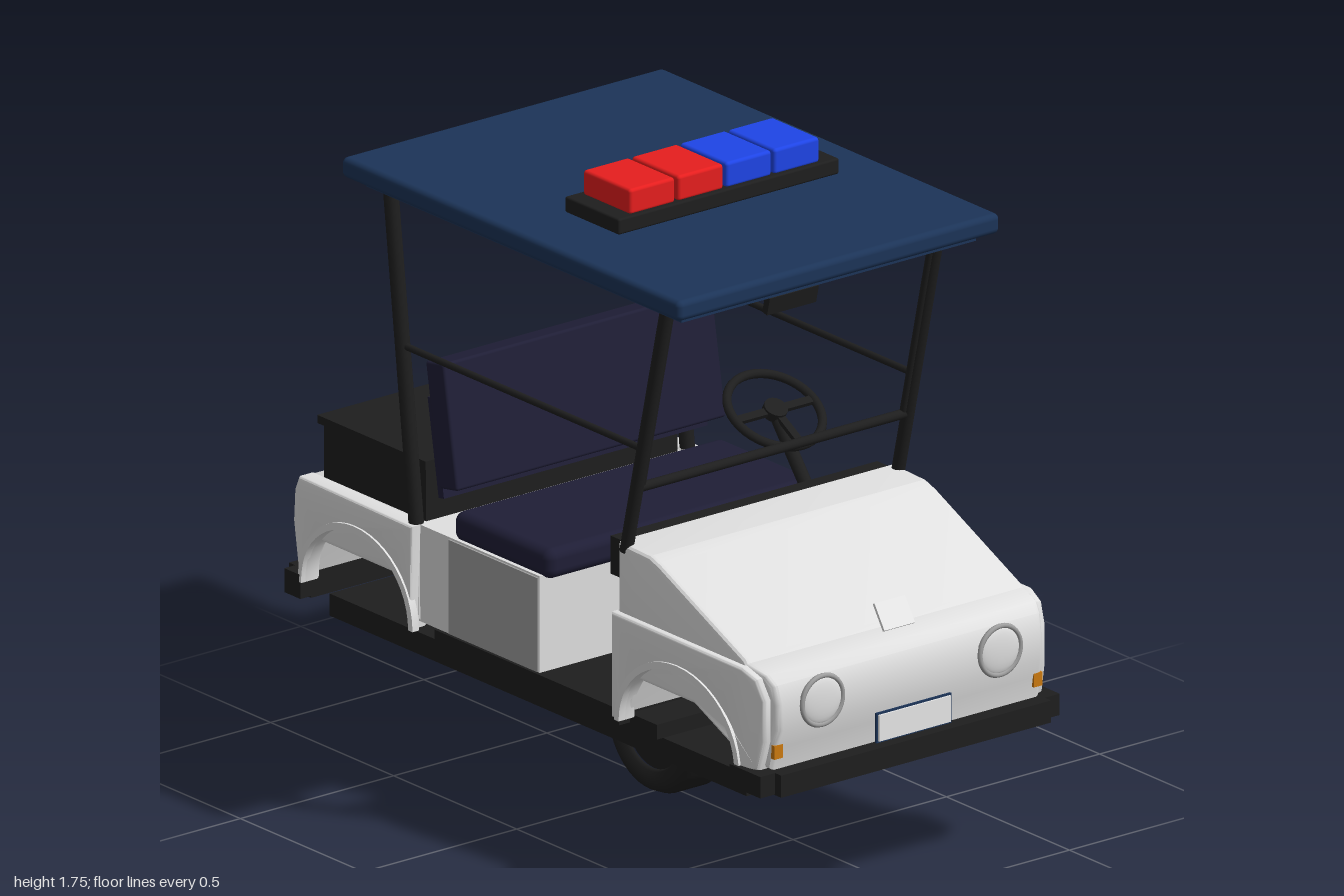
import * as THREE from 'three';
import { toCreasedNormals } from 'three/addons/utils/BufferGeometryUtils.js';
import { RoundedBoxGeometry } from 'three/addons/geometries/RoundedBoxGeometry.js';

const paint = (name, color) => {
  const m = new THREE.MeshStandardMaterial({ color });
  m.name = name;
  return m;
};

export function createModel() {
  const white = paint('bodyWhite', 0xe0e0e0);
  const plateWhite = paint('plateWhite', 0xf4f4f4);
  const black = paint('trimBlack', 0x1e1e1e);
  const navy = paint('roofNavy', 0x1c3458);
  const vinyl = paint('seatVinyl', 0x1f1e36);
  const red = paint('beaconRed', 0xe81e1e);
  const blue = paint('beaconBlue', 0x1f46ea);
  const amber = paint('signalAmber', 0xcc7a10);
  const tailRed = paint('tailRed', 0xa00a2c);
  const silver = paint('silver', 0xa0a0a0);

  const model = new THREE.Group();
  const add = (name, geo, mat, x = 0, y = 0, z = 0, parent = model) => {
    const m = new THREE.Mesh(geo, mat);
    m.name = name;
    m.position.set(x, y, z);
    parent.add(m);
    return m;
  };
  // Box given by its extents
  const box = (name, mat, x0, x1, y0, y1, z0, z1, round = 0) => {
    const s = [x1 - x0, y1 - y0, z1 - z0];
    const g = round ? new RoundedBoxGeometry(...s, 3, round) : new THREE.BoxGeometry(...s);
    return add(name, g, mat, (x0 + x1) / 2, (y0 + y1) / 2, (z0 + z1) / 2);
  };
  // Rod between two points
  const rod = (name, mat, a, b, r) => {
    const p = new THREE.Vector3(...a), q = new THREE.Vector3(...b);
    const m = add(name, new THREE.CylinderGeometry(r, r, p.distanceTo(q), 12), mat);
    m.position.copy(p).lerp(q, 0.5);
    m.quaternion.setFromUnitVectors(new THREE.Vector3(0, 1, 0), q.sub(p).normalize());
    return m;
  };
  // Side outline (z, y) extruded across x, narrowing toward both ends of the body
  const slab = (name, mat, shape, x0, x1, bevel = 0, crease = 0.6) => {
    const g = new THREE.ExtrudeGeometry(shape, {
      depth: x1 - x0 - 2 * bevel, bevelEnabled: bevel > 0, bevelSize: bevel, bevelOffset: -bevel,
      bevelThickness: bevel, bevelSegments: 3, curveSegments: 24,
    });
    g.rotateY(-Math.PI / 2).translate(x1 - bevel, 0, 0);
    const p = g.attributes.position;
    for (let i = 0; i < p.count; i++) {
      const over = Math.max(0, Math.abs(p.getZ(i)) - 0.86);
      p.setX(i, p.getX(i) * (1 - 4 * over * over));
    }
    return add(name, toCreasedNormals(g, crease), mat);
  };
  const outline = (pts) => new THREE.Shape(pts.map((p) => new THREE.Vector2(...p)));
  const arc = (zc, r, ry, from, to) => Array.from({ length: 25 }, (_, i) => {
    const a = from + (to - from) * i / 24;
    return [zc + r * Math.cos(a), 0.4 + ry * Math.sin(a)];
  });

  // Chassis, floor and bumpers
  box('chassis', black, -0.4, 0.4, 0.3, 0.36, -0.885, 0.81);
  box('floor', black, -0.42, 0.42, 0.36, 0.4, -0.03, 0.47);
  box('sill', black, -0.455, 0.455, 0.375, 0.418, -0.39, 0.36);
  box('frontBumper', black, -0.44, 0.44, 0.36, 0.42, 0.85, 1.0);
  box('rearBumper', black, -0.44, 0.44, 0.35, 0.42, -1.0, -0.91);
  for (const s of [-1, 1]) {
    box('frontBumperEnd', black, s * 0.455 - 0.033, s * 0.455 + 0.033, 0.362, 0.42, 0.85, 0.975);
    box('rearBumperEnd', black, s * 0.45 - 0.025, s * 0.45 + 0.025, 0.355, 0.42, -0.975, -0.91);
  }

  // Front body: nose, hood and arched fenders
  slab('nose', white, outline([[0.35, 0.42], [0.39, 0.42], [0.42, 0.52], [0.66, 0.52], [0.86, 0.43],
    [0.955, 0.42], [0.965, 0.48], [0.98, 0.53], [0.978, 0.6], [0.965, 0.65], [0.94, 0.675],
    [0.88, 0.69], [0.35, 0.69]]), -0.455, 0.455, 0.012);
  slab('hood', white, outline([[0.352, 0.67], [0.9, 0.67], [0.865, 0.7], [0.52, 0.855], [0.48, 0.868],
    [0.352, 0.872]]), -0.455, 0.455, 0.015, 0.28);
  box('firewallPanel', silver, -0.43, 0.43, 0.425, 0.765, 0.343, 0.35);
  const frontArch = arc(0.625, 0.235, 0.2, 0, Math.PI);
  const rearArch = arc(-0.685, 0.22, 0.2, 0, Math.PI);
  const fender = outline([[0.35, 0.4], [0.35, 0.685], [0.88, 0.685], [0.93, 0.665], [0.955, 0.61],
    [0.955, 0.5], [0.935, 0.42], ...frontArch]);
  const quarter = outline([[-0.93, 0.42], [-0.965, 0.55], [-0.955, 0.64], [-0.93, 0.68],
    [-0.46, 0.68], ...rearArch]);
  const lip = (zc, r) => outline([...arc(zc, r + 0.018, 0.218, 0, Math.PI), ...arc(zc, r, 0.2, Math.PI, 0)]);
  for (const s of [-1, 1]) {
    const span = (a, b) => (s > 0 ? [a, b] : [-b, -a]);
    slab('frontFender', white, fender, ...span(0.425, 0.475), 0.008);
    slab('rearFender', white, quarter, ...span(0.42, 0.475), 0.008);
    slab('frontArchLip', white, lip(0.625, 0.235), ...span(0.46, 0.481));
    slab('rearArchLip', white, lip(-0.685, 0.22), ...span(0.46, 0.481));
  }

  // Rear body and seat base
  slab('rearBody', white, outline([[-0.46, 0.42], [-0.46, 0.675], [-0.93, 0.675], [-0.965, 0.66],
    [-0.98, 0.6], [-0.97, 0.42], [-0.91, 0.42], [-0.88, 0.52], [-0.49, 0.52]]), -0.45, 0.45, 0.01);
  box('seatBase', white, -0.445, 0.445, 0.418, 0.68, -0.47, 0.025);
  box('seatBaseSidePanel', silver, -0.45, -0.444, 0.42, 0.675, -0.34, 0.022);

  // Rear cargo box
  box('cargoBox', black, -0.41, 0.41, 0.67, 0.825, -0.895, -0.48);
  box('cargoLid', black, -0.42, 0.42, 0.82, 0.842, -0.91, -0.47);
  box('cargoHandle', silver, -0.095, 0.095, 0.842, 0.87, -0.715, -0.65);

  // Seat
  box('seatCushion', vinyl, -0.44, 0.44, 0.67, 0.752, -0.34, 0.055, 0.028);
  box('seatBack', vinyl, -0.44, 0.44, 0.8, 1.135, -0.42, -0.346, 0.008).rotation.x = -0.17;
  box('seatBackFrame', vinyl, -0.43, 0.43, 0.765, 1.03, -0.427, -0.405).rotation.x = -0.17;

  // Roof on posts
  box('roof', navy, -0.525, 0.525, 1.577, 1.632, -0.685, 0.69, 0.016);
  box('roofUnderside', navy, -0.48, 0.48, 1.555, 1.585, -0.635, 0.645);
  for (const s of [-1, 1]) {
    const x = s * 0.442;
    rod('frontPost', black, [x, 0.85, 0.373], [x, 1.56, 0.54], 0.018);
    rod('rearPost', black, [x, 0.675, -0.48], [x, 1.56, -0.585], 0.02);
    rod('sideRail', black, [x, 1.145, 0.44], [x, 1.145, -0.535], 0.009);
    rod('windscreenSideBar', black, [s * 0.426, 1.03, 0.415], [s * 0.426, 1.55, 0.537], 0.01);
  }
  rod('windscreenLowerBar', black, [-0.44, 1.032, 0.416], [0.44, 1.032, 0.416], 0.013);
  rod('windscreenUpperBar', black, [-0.44, 1.545, 0.535], [0.44, 1.545, 0.535], 0.013);
  box('mirror', black, -0.08, 0.08, 1.44, 1.49, 0.48, 0.5).rotation.x = 0.24;

  // Dashboard, pedal and steering; the rim plane rises toward the seat
  box('dashboard', black, -0.435, 0.435, 0.765, 0.868, 0.3, 0.356);
  box('pedal', black, -0.18, -0.08, 0.672, 0.75, 0.244, 0.256);
  rod('steeringColumn', black, [0.225, 0.77, 0.33], [0.225, 1.0, 0.15], 0.018);
  const steering = new THREE.Group();
  steering.name = 'steeringWheel';
  steering.position.set(0.225, 1.01, 0.145);
  steering.rotation.x = 0.515 - Math.PI / 2;
  add('steeringRim', new THREE.TorusGeometry(0.128, 0.012, 10, 40), black, 0, 0, 0, steering);
  add('steeringHub', new THREE.CylinderGeometry(0.032, 0.032, 0.025, 20).rotateX(Math.PI / 2), black, 0, 0, 0, steering);
  for (const a of [0, Math.PI, -Math.PI / 2]) {
    add('steeringSpoke', new THREE.BoxGeometry(0.125, 0.022, 0.012).translate(0.063, 0, 0), black, 0, 0, 0, steering).rotation.z = a;
  }
  model.add(steering);

  // Roof light bar
  box('lightBarBase', black, -0.36, 0.36, 1.647, 1.69, 0.02, 0.24, 0.006);
  for (const s of [-1, 1]) box('lightBarFoot', black, s * 0.27 - 0.05, s * 0.27 + 0.05, 1.625, 1.65, 0.06, 0.2);
  [-0.238, -0.08, 0.077, 0.233].forEach((x, i) => {
    box('beaconLens', i < 2 ? red : blue, x - 0.074, x + 0.074, 1.686, 1.755, 0.034, 0.226, 0.009);
  });

  // Front plates
  box('hoodPlate', plateWhite, -0.05, 0.05, 0.695, 0.77, 0.906, 0.914).rotation.x = -0.58;
  box('frontPlateFrame', navy, -0.122, 0.122, 0.431, 0.512, 0.985, 0.991);
  box('frontPlate', plateWhite, -0.117, 0.117, 0.436, 0.507, 0.99, 0.996);
  // Lamps on both sides
  for (const s of [-1, 1]) {
    add('headlightRim', new THREE.TorusGeometry(0.066, 0.007, 8, 36), silver, s * 0.29, 0.585, 0.98);
    add('headlightLens', new THREE.SphereGeometry(0.064, 28, 12).scale(1, 1, 0.2), white, s * 0.29, 0.585, 0.978);
    box('frontSignal', amber, s * 0.423 - 0.014, s * 0.423 + 0.014, 0.453, 0.49, 0.95, 0.969);
    const x0 = s * 0.345 - 0.055, x1 = s * 0.345 + 0.055;
    box('tailLightFrame', black, x0 - 0.005, x1 + 0.005, 0.549, 0.617, -0.985, -0.97);
    box('tailLight', tailRed, x0, x1, 0.554, 0.612, -0.99, -0.98);
    box('rearSignal', amber, x0, x1, 0.499, 0.539, -0.987, -0.965);
  }
  box('rearPlateFrame', navy, -0.12, 0.12, 0.5, 0.585, -0.984, -0.974);
  box('rearPlate', plateWhite, -0.113, 0.113, 0.507, 0.578, -0.988, -0.983);

  // Centre wheel with spoked rim on its left face
  const wheel = new THREE.Group();
  wheel.name = 'wheel';
  wheel.position.set(0, 0.181, 0.005);
  const tyre = [[0.115, -0.06], [0.12, -0.072], [0.15, -0.08], [0.17, -0.07], [0.181, -0.045], [0.181, 0.045],
    [0.17, 0.07], [0.15, 0.08], [0.12, 0.072], [0.115, 0.06]].map((p) => new THREE.Vector2(...p));
  add('tyre', new THREE.LatheGeometry(tyre, 48).rotateZ(-Math.PI / 2), black, 0, 0, 0, wheel);
  add('wheelDisc', new THREE.CylinderGeometry(0.117, 0.117, 0.11, 40).rotateZ(Math.PI / 2), black, 0, 0, 0, wheel);
  add('rim', new THREE.TorusGeometry(0.106, 0.011, 8, 40).rotateY(Math.PI / 2), silver, 0.066, 0, 0, wheel);
  add('hub', new THREE.CylinderGeometry(0.03, 0.03, 0.034, 20).rotateZ(Math.PI / 2), silver, 0.068, 0, 0, wheel);
  for (let i = 0; i < 6; i++) {
    add('spoke', new THREE.BoxGeometry(0.02, 0.1, 0.026).translate(0, 0.055, 0), silver, 0.064, 0, 0, wheel).rotation.x = i * Math.PI / 3;
  }
  model.add(wheel);

  return model;
}
